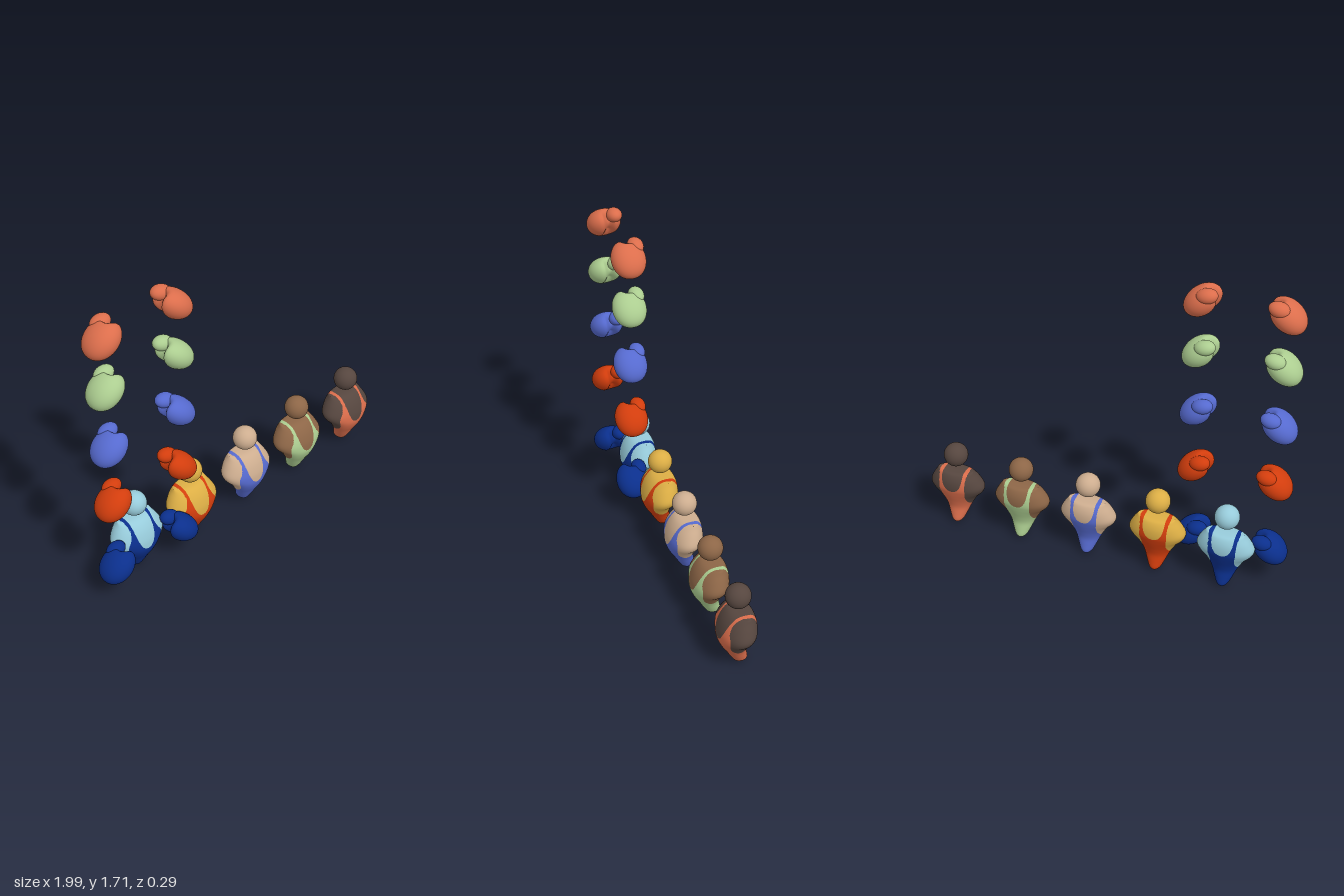
import * as THREE from 'three';
import { mergeVertices } from 'three/addons/utils/BufferGeometryUtils.js';

const mat = (name, color) => new THREE.MeshStandardMaterial({ name, color });

// Torso cross-sections: height, half width, front z, back z
const SECTIONS = [
  [0.35, 0.1, -0.065, -0.065], [0.346, 0.103, -0.025, -0.107], [0.33, 0.112, 0.003, -0.126],
  [0.295, 0.134, 0.028, -0.139], [0.25, 0.154, 0.045, -0.141], [0.215, 0.145, 0.051, -0.132],
  [0.18, 0.115, 0.051, -0.12], [0.14, 0.089, 0.036, -0.106], [0.1, 0.068, 0.012, -0.098],
  [0.06, 0.051, -0.01, -0.104], [0.025, 0.035, -0.031, -0.11], [0.008, 0.02, -0.047, -0.102],
  [0, 0, -0.075, -0.075],
];

function torsoGeometry() {
  const curve = (k) => new THREE.CatmullRomCurve3(
    SECTIONS.map((s) => new THREE.Vector3(s[1], s[0], s[k])), false, 'catmullrom');
  const front = curve(2), back = curve(3);
  const rows = 52, cols = 56, pos = [], idx = [];
  for (let i = 0; i <= rows; i++) {
    const f = front.getPoint(i / rows), b = back.getPoint(i / rows);
    for (let j = 0; j < cols; j++) {
      const a = (j / cols) * Math.PI * 2, c = Math.cos(a), s = Math.sin(a);
      pos.push(f.x * c, f.y, (f.z + b.z) / 2 + ((f.z - b.z) / 2) * Math.sign(s) * Math.abs(s) ** 0.95);
      if (i === rows) continue;
      const p = i * cols + j, q = i * cols + ((j + 1) % cols);
      idx.push(p, q, q + cols, p, q + cols, p + cols);
    }
  }
  const g = new THREE.BufferGeometry();
  g.setAttribute('position', new THREE.Float32BufferAttribute(pos, 3));
  g.setIndex(idx);
  const merged = mergeVertices(g, 1e-5);
  merged.computeVertexNormals();
  return merged;
}

// Positive inside the arm holes and the scooped neck, negative on the cloth
function skinField({ x, y, z }) {
  const arm = 1 - Math.abs((z + 0.058) / 0.082) ** 2.5 - Math.abs((y - 0.238) / 0.113) ** 2.5
    - Math.max(0, 0.08 - Math.abs(x)) * 40;
  const depth = z > -0.065 ? 0.157 : 0.11;
  const neck = 1 - Math.abs(x / 0.06) ** 2.3 - Math.max(0, (0.35 - y) / depth) ** 2.3;
  return Math.max(arm, neck);
}

// Keep the side of the surface where sign * field > 0, cutting triangles on the border
function cutSurface(geo, field, sign) {
  const P = geo.attributes.position, N = geo.attributes.normal, I = geo.index;
  const verts = [];
  for (let i = 0; i < P.count; i++) {
    const p = new THREE.Vector3().fromBufferAttribute(P, i);
    verts.push({ p, n: new THREE.Vector3().fromBufferAttribute(N, i), f: sign * field(p) });
  }
  const pos = [], nor = [];
  for (let t = 0; t < I.count; t += 3) {
    const tri = [0, 1, 2].map((k) => verts[I.getX(t + k)]);
    const poly = [];
    tri.forEach((a, k) => {
      const b = tri[(k + 1) % 3];
      if (a.f > 0) poly.push(a);
      if (a.f > 0 !== b.f > 0) {
        const u = a.f / (a.f - b.f);
        poly.push({ p: a.p.clone().lerp(b.p, u), n: a.n.clone().lerp(b.n, u).normalize() });
      }
    });
    for (let k = 1; k + 1 < poly.length; k++) {
      for (const v of [poly[0], poly[k], poly[k + 1]]) {
        pos.push(...v.p.toArray());
        nor.push(...v.n.toArray());
      }
    }
  }
  const g = new THREE.BufferGeometry();
  g.setAttribute('position', new THREE.Float32BufferAttribute(pos, 3));
  g.setAttribute('normal', new THREE.Float32BufferAttribute(nor, 3));
  return g;
}

// Padded fist: tilted ellipsoid with a groove on its inner side; side = 1 opens to +x
function fistGeometry(side) {
  const g = new THREE.SphereGeometry(1, 48, 32), P = g.attributes.position;
  const v = new THREE.Vector3(), axis = new THREE.Vector3(0, 0, 1);
  for (let i = 0; i < P.count; i++) {
    v.fromBufferAttribute(P, i);
    v.x *= side;
    const inner = THREE.MathUtils.smoothstep(0.85 * v.x - 0.5 * v.y, 0, 0.75);
    const dent = 1 - 0.5 * inner * Math.exp(-(((v.z + 0.12) / 0.24) ** 2));
    v.z = Math.sign(v.z) * Math.abs(v.z) ** 0.92;
    v.multiply(new THREE.Vector3(0.105 * dent, 0.071 * dent, 0.09));
    v.applyAxisAngle(axis, 0.66);
    P.setXYZ(i, v.x * side, v.y - 0.006, v.z);
  }
  g.deleteAttribute('uv');
  const merged = mergeVertices((g.deleteAttribute('normal'), g), 1e-5);
  merged.computeVertexNormals();
  return merged;
}

export function createModel() {
  const model = new THREE.Group();
  const add = (parent, name, geo, material) => {
    const m = new THREE.Mesh(geo, material);
    m.name = name;
    parent.add(m);
    return m;
  };

  // Each team: x of the figure, height of its gloves, skin and cloth colours
  const teams = [
    [-0.697, 0.22, mat('sky blue', 0x97cbda), mat('navy', 0x0b2f8c)],
    [-0.322, 0.643, mat('gold', 0xdcae45), mat('orange red', 0xd23d0d)],
    [0.068, 0.995, mat('tan', 0xcdad8f), mat('blue', 0x566acf)],
    [0.452, 1.34, mat('brown', 0x8d6647), mat('green', 0xaccd90)],
    [0.835, 1.63, mat('dark brown', 0x56463f), mat('coral', 0xdc6e4c)],
  ];

  const torso = torsoGeometry();
  const skinGeo = cutSurface(torso, skinField, 1);
  const clothGeo = cutSurface(torso, skinField, -1);
  const headGeo = new THREE.SphereGeometry(0.066, 40, 28);
  const thumbGeo = new THREE.SphereGeometry(1, 32, 24);
  const fists = { 1: fistGeometry(1), '-1': fistGeometry(-1) };

  for (const [x, gloveY, skin, cloth] of teams) {
    // Figure
    const figure = new THREE.Group();
    figure.name = 'figure';
    figure.position.x = x;
    add(figure, 'chestAndShoulders', skinGeo, skin);
    add(figure, 'singlet', clothGeo, cloth);
    add(figure, 'head', headGeo, skin).position.set(0, 0.435, -0.052);
    model.add(figure);

    // Pair of gloves, mirrored about the first figure
    for (const side of [1, -1]) {
      const glove = new THREE.Group();
      glove.name = side > 0 ? 'rightGlove' : 'leftGlove';
      glove.position.set(-0.697 - side * 0.21, gloveY, 0.055);
      add(glove, 'fist', fists[side], cloth);
      const thumb = add(glove, 'thumb', thumbGeo, cloth);
      thumb.scale.set(0.055, 0.038, 0.042);
      thumb.position.set(side * 0.033, 0.046, -0.048);
      thumb.rotation.z = side * 0.2;
      model.add(glove);
    }
  }
  return model;
}
